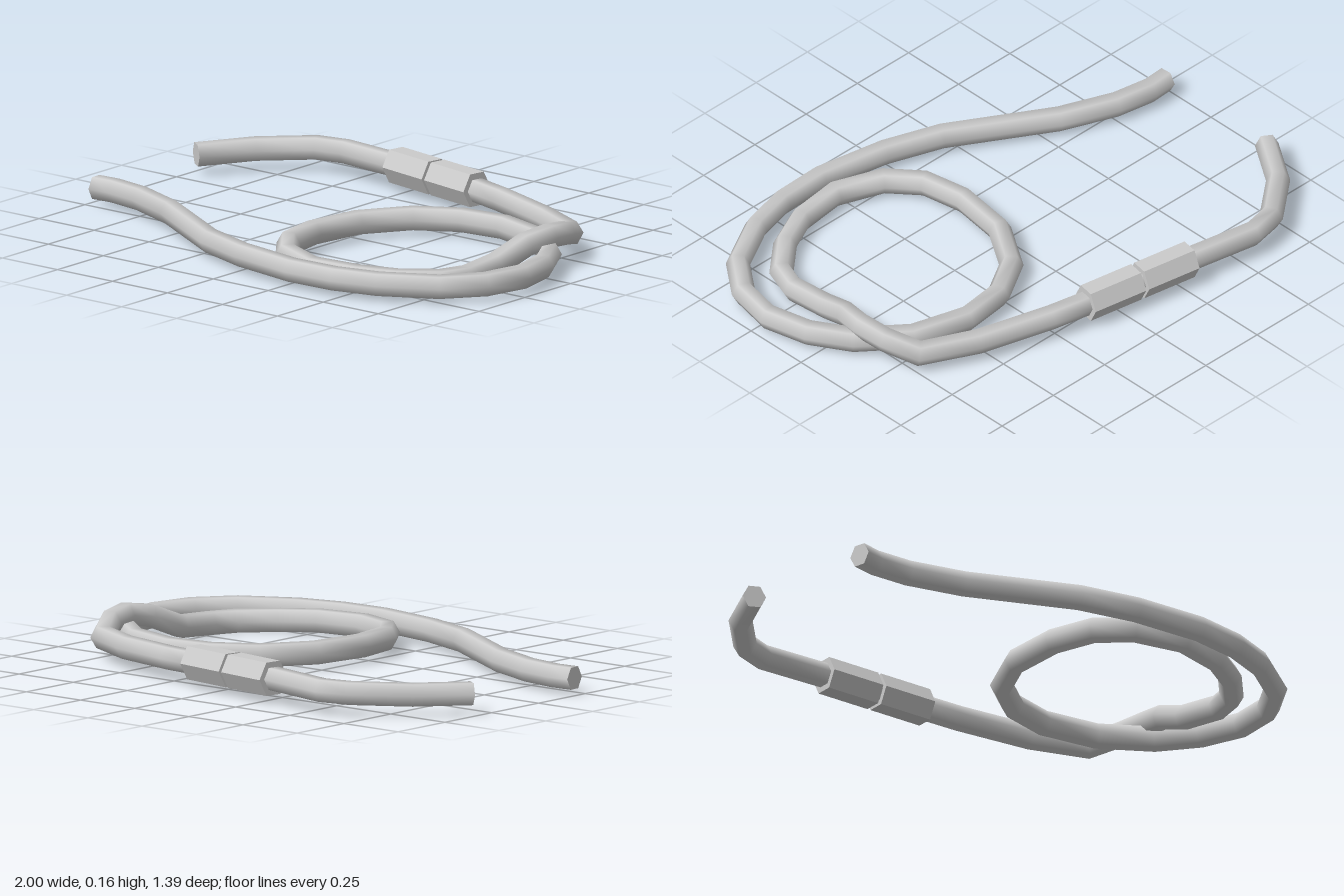
import * as THREE from 'three';

const material = new THREE.MeshStandardMaterial({ color: 0xcccccc });
const flatMaterial = new THREE.MeshStandardMaterial({ color: 0xcccccc, flatShading: true });

// Sweeps a hexagon (points sideways, flat top and bottom) along a path with mitred corners.
function hexSweep(path, halfWidth, halfHeight) {
  const pts = path.map((p) => new THREE.Vector3(...p));
  const up = new THREE.Vector3(0, 1, 0);
  const pos = [], index = [], rings = [];
  const dir = (i) => pts[i + 1].clone().sub(pts[i]).normalize();
  pts.forEach((p, i) => {
    const a = dir(Math.max(i - 1, 0)), b = dir(Math.min(i, pts.length - 2));
    const t = a.clone().add(b).normalize();
    const side = t.clone().cross(up).normalize();
    const top = side.clone().cross(t);
    const miter = 1 / Math.max(t.dot(a), 0.7);
    const ring = [];
    for (let k = 0; k < 6; k++) {
      const ang = (k * Math.PI) / 3;
      ring.push(p.clone()
        .addScaledVector(side, Math.cos(ang) * halfWidth * miter)
        .addScaledVector(top, Math.sin(ang) * halfHeight / Math.sin(Math.PI / 3)));
    }
    rings.push(ring);
    ring.forEach((v) => pos.push(v.x, v.y, v.z));
  });
  for (let i = 0; i < pts.length - 1; i++) {
    for (let k = 0; k < 6; k++) {
      const a = i * 6 + k, b = i * 6 + ((k + 1) % 6);
      index.push(a, a + 6, b, b, a + 6, b + 6);
    }
  }
  // End caps with their own vertices so the rims stay sharp
  [rings[0], rings[rings.length - 1]].forEach((ring, end) => {
    const s = pos.length / 3;
    ring.forEach((v) => pos.push(v.x, v.y, v.z));
    for (let k = 1; k < 5; k++) {
      if (end) index.push(s, s + k + 1, s + k);
      else index.push(s, s + k, s + k + 1);
    }
  });
  const g = new THREE.BufferGeometry();
  g.setAttribute('position', new THREE.Float32BufferAttribute(pos, 3));
  g.setIndex(index);
  g.computeVertexNormals();
  return g;
}

export function createModel() {
  const group = new THREE.Group();

  // Cable: front tail, outer bend, inner loop, crossover, back tail
  const frontTail = [
    [-0.985, 0.06, 0.21], [-0.9, 0.06, 0.205], [-0.76, 0.06, 0.23], [-0.56, 0.06, 0.31],
    [-0.2, 0.06, 0.525], [0.01, 0.06, 0.6], [0.275, 0.06, 0.65],
  ];
  const outerBend = [
    [0.465, 0.06, 0.645], [0.63, 0.06, 0.605], [0.82, 0.06, 0.5], [0.92, 0.06, 0.37],
    [0.953, 0.06, 0.21], [0.915, 0.06, 0.05], [0.83, 0.06, -0.09], [0.67, 0.06, -0.22],
  ];
  const innerLoop = [
    [0.465, 0.06, -0.28], [0.29, 0.06, -0.26], [0.14, 0.06, -0.17], [0.03, 0.06, 0],
    [0, 0.06, 0.21], [0.03, 0.06, 0.375], [0.12, 0.055, 0.49], [0.29, 0.05, 0.56],
    [0.475, 0.048, 0.54], [0.61, 0.043, 0.48], [0.725, 0.04, 0.38], [0.762, 0.041, 0.28],
  ];
  const backTail = [
    [0.757, 0.052, 0.12], [0.787, 0.105, -0.01], [0.81, 0.12, -0.11], [0.795, 0.108, -0.21],
    [0.735, 0.075, -0.32], [0.54, 0.075, -0.415], [0.27, 0.082, -0.5], [0.13, 0.086, -0.533],
    [-0.3, 0.09, -0.608], [-0.565, 0.085, -0.653], [-0.68, 0.085, -0.63], [-0.845, 0.08, -0.495],
    [-0.965, 0.075, -0.315],
  ];
  const cable = new THREE.Mesh(
    hexSweep([...frontTail, ...outerBend, ...innerLoop, ...backTail], 0.042, 0.039), material);
  cable.name = 'cable';
  group.add(cable);

  // Two hexagonal connector halves with a narrow gap between them
  const start = new THREE.Vector3(-0.302, 0.09, -0.609);
  const end = new THREE.Vector3(0.13, 0.088, -0.533);
  [['connectorLeftHalf', 0.515, 1], ['connectorRightHalf', 0, 0.485]].forEach(([name, t0, t1]) => {
    const ends = [t0, t1].map((t) => start.clone().lerp(end, t).toArray());
    const half = new THREE.Mesh(hexSweep(ends, 0.062, 0.059), flatMaterial);
    half.name = name;
    group.add(half);
  });

  return group;
}
